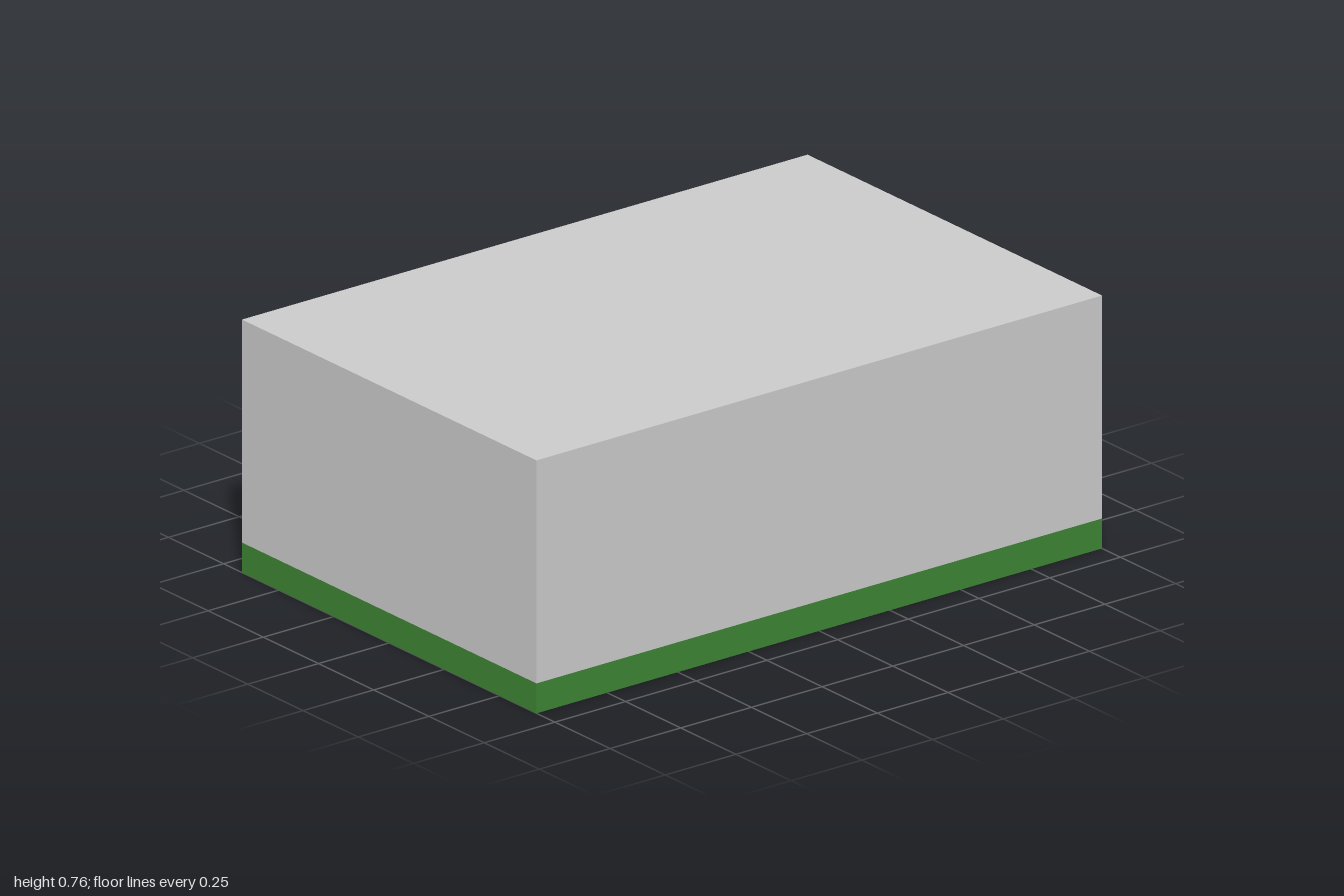
import * as THREE from 'three';

const W = 2, D = 1.334, H = 0.76, PLATE = 0.09;
const R = 0.44, DEPTH = 0.207;             // round recess in the underside
const PIN_R = 0.06, PIN_RING = 0.217, PIN_DEPTH = 0.042;
const NOTCH = { w: 0.14, y0: 0.1, y1: 0.17, depth: 0.16 };

const paint = (color) => new THREE.MeshStandardMaterial({ color, side: THREE.DoubleSide });

function add(parent, name, geometry, material, x = 0, y = 0, z = 0) {
  const mesh = new THREE.Mesh(geometry, material);
  mesh.name = name;
  mesh.position.set(x, y, z);
  parent.add(mesh);
  return mesh;
}

// Box with some sides left out; sides run +x, -x, +y, -y, +z, -z
function openBox(w, h, d, ...missing) {
  const box = new THREE.BoxGeometry(w, h, d);
  box.setIndex([...box.index.array].filter((_, i) => !missing.includes(Math.floor(i / 6))));
  box.clearGroups();
  return box;
}

// Flat sheet facing down, cut by round holes given as [x, z, radius]
function sheet(shape, holes) {
  for (const [x, z, r] of holes) {
    shape.holes.push(new THREE.Path().absarc(x, z, r, 0, Math.PI * 2, true));
  }
  return new THREE.ShapeGeometry(shape, 32).rotateX(Math.PI / 2);
}

export function createModel() {
  const model = new THREE.Group();
  model.name = 'housing';
  const grey = paint(0xcccccc), green = paint(0x3e8534);
  const white = paint(0xffffff), gold = paint(0xd7a023);

  // Block above a thin base plate
  add(model, 'body', openBox(W, H - PLATE, D, 3), grey, 0, (H + PLATE) / 2, 0);
  add(model, 'basePlateEdge', openBox(W, PLATE, D, 2, 3), green, 0, PLATE / 2, 0);
  const outline = new THREE.Shape([
    new THREE.Vector2(-W / 2, -D / 2), new THREE.Vector2(W / 2, -D / 2),
    new THREE.Vector2(W / 2, D / 2), new THREE.Vector2(-W / 2, D / 2),
  ]);
  add(model, 'basePlateUnderside', sheet(outline, [[0, 0, R]]), green);

  // Recess wall in three bands, the middle one interrupted by the notches
  const socket = new THREE.Group();
  socket.name = 'socket';
  model.add(socket);
  const band = (y0, y1, start, length) => add(socket, 'socketWall',
    new THREE.CylinderGeometry(R, R, y1 - y0, 64, 1, true, start, length), green, 0, (y0 + y1) / 2, 0);
  const gap = Math.asin(NOTCH.w / 2 / R);
  band(0, NOTCH.y0, 0, Math.PI * 2);
  band(NOTCH.y1, DEPTH, 0, Math.PI * 2);
  for (const side of [0, 1]) {
    band(NOTCH.y0, NOTCH.y1, gap + side * Math.PI, Math.PI - 2 * gap);

    // Locking notch, open towards the recess
    const notch = add(socket, 'lockingNotch',
      openBox(NOTCH.w, NOTCH.y1 - NOTCH.y0, NOTCH.depth, 5).translate(0, 0, R * Math.cos(gap) + NOTCH.depth / 2),
      green, 0, (NOTCH.y0 + NOTCH.y1) / 2, 0);
    notch.rotation.y = side * Math.PI;
  }

  // Recess floor with a ring of six contact wells
  const wells = Array.from({ length: 6 }, (_, i) => {
    const a = i * Math.PI / 3;
    return [PIN_RING * Math.cos(a), PIN_RING * Math.sin(a), PIN_R];
  });
  const disc = new THREE.Shape().absarc(0, 0, R, 0, Math.PI * 2);
  add(socket, 'socketFloor', sheet(disc, wells), grey, 0, DEPTH, 0);
  const wellWall = new THREE.CylinderGeometry(PIN_R, PIN_R, PIN_DEPTH, 32, 1, true);
  const contact = new THREE.CircleGeometry(PIN_R, 32).rotateX(Math.PI / 2);
  for (const [x, z] of wells) {
    add(socket, 'contactWell', wellWall, white, x, DEPTH + PIN_DEPTH / 2, z);
    add(socket, 'contact', contact, gold, x, DEPTH + PIN_DEPTH, z);
  }
  return model;
}
